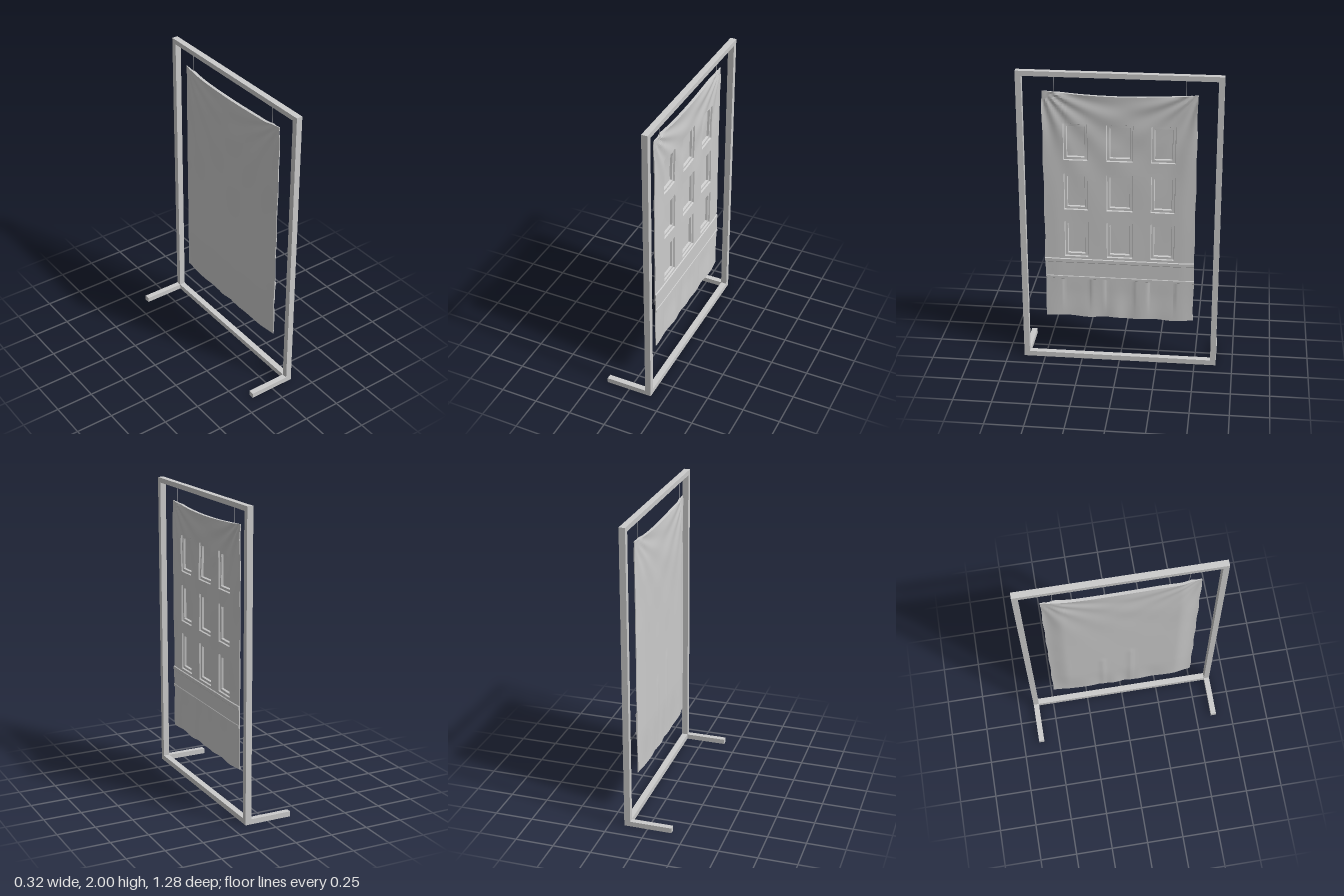
import * as THREE from 'three';
import { toCreasedNormals } from 'three/addons/utils/BufferGeometryUtils.js';

const material = new THREE.MeshStandardMaterial({ color: 0xcccccc });
const { smoothstep, lerp } = THREE.MathUtils;

// Cloth layout: window columns [z centre, width], window rows [y low, y high]
const COLUMNS = [[0.28, 0.15], [0, 0.165], [-0.275, 0.15]];
const ROWS = [[0.745, 0.99], [1.075, 1.32], [1.415, 1.655]];
const INSET = 0.019, EDGE = 0.002;
const LEFT = 0.487, RIGHT = -0.482, BOTTOM = 0.305, TOP = 1.866;
const BAND = [0.58, 0.6, 0.7, 0.725];

// 1 inside the interval a..b, 0 outside, with a narrow slope at both ends
const inside = (v, a, b, e = EDGE) => smoothstep(v, a - e, a + e) * (1 - smoothstep(v, b - e, b + e));

// Even grid lines plus tight pairs of lines at every sharp step
function gridLines(lo, hi, count, steps) {
  const sharp = steps.flatMap((s) => [s - EDGE, s, s + EDGE]);
  const lines = [...sharp];
  for (let i = 0; i <= count; i++) {
    const v = lerp(lo, hi, i / count);
    if (i === 0 || i === count || sharp.every((s) => Math.abs(s - v) > 0.003)) lines.push(v);
  }
  return lines.sort((a, b) => a - b);
}

// Diagonal pull folds that fan out from the two hung corners
function cornerFolds(z, y) {
  let sum = 0;
  for (const side of [1, -1]) {
    const dz = 0.5 - side * z, dy = 1.9 - y;
    const r = Math.hypot(dz, dy);
    sum += Math.sin(Math.atan2(dz, dy) * 17 + side) * Math.exp(-r / 0.45) * smoothstep(r, 0, 0.15);
  }
  return sum * 0.006;
}

// Soft vertical waves toward the hem
const hemFolds = (z, y) =>
  0.003 * Math.sin(z * 31 + Math.sin(z * 9) + y * 1.5) * (1 - smoothstep(y, 0.3, 0.62));

// Back of the cloth bellies out away from the frame
function backX(z, y) {
  const across = smoothstep(0.49 - Math.abs(z), 0, 0.13);
  const up = smoothstep(y, 0.28, 0.62) * (1 - smoothstep(y, 1.55, 1.9));
  const ridges = [[0.06, 0.95], [-0.13, 0.85]].reduce(
    (s, [c, h]) => s + Math.exp(-(((z - c) / 0.018) ** 2)) * (1 - smoothstep(y, h - 0.08, h)), 0);
  return 0.115 - 0.012 * across - 0.008 * up * across + cornerFolds(z, y) * 0.6 + hemFolds(z, y) - ridges * 0.003;
}

// Front of the cloth: stepped window recesses, raised band, shallow lower panels
function frontX(z, y) {
  let x = 0.12 + 0.003 * smoothstep(0.49 - Math.abs(z), 0, 0.1) + cornerFolds(z, y) + hemFolds(z, y);
  for (const [c, w] of COLUMNS) {
    const a = c - w / 2, b = c + w / 2;
    for (const [lo, hi] of ROWS) {
      x -= 0.01 * inside(z, a, b) * inside(y, lo, hi);
      x -= 0.014 * inside(z, a + INSET, b - INSET) * inside(y, lo + INSET, hi - INSET);
    }
    x -= 0.006 * inside(z, a - 0.01, b + 0.01, 0.006) * (1 - smoothstep(y, BAND[0] - EDGE, BAND[0] + EDGE))
      * smoothstep(y, 0.3, 0.5);
  }
  x += 0.003 * inside(y, BAND[0], BAND[3]);
  x += 0.003 * (inside(y, BAND[0], BAND[1]) + inside(y, BAND[2], BAND[3]));
  return Math.max(x, backX(z, y) + 0.004);
}

// Closed cloth built from horizontal rings, bottom to top
function clothGeometry() {
  const zs = gridLines(RIGHT, LEFT, 76, COLUMNS.flatMap(([c, w]) =>
    [c - w / 2, c - w / 2 + INSET, c + w / 2 - INSET, c + w / 2])).reverse();
  const ys = gridLines(BOTTOM, TOP, 100, [...BAND, ...ROWS.flatMap(([a, b]) => [a, a + INSET, b - INSET, b])]);
  const n = zs.length, ring = 2 * n, last = (ys.length - 1) * ring;
  const positions = [], index = [];
  const quad = (a, b, c, d) => index.push(a, b, c, a, c, d);
  for (const y of ys) {
    const point = (z, surface) => {
      const sag = 0.026 * (1 - Math.min(1, Math.abs(z) / 0.48) ** 2) * smoothstep(y, 1.67, TOP);
      const hem = 0.003 * Math.sin(z * 23) * (1 - smoothstep(y, BOTTOM, 0.4));
      const ripple = 0.002 * Math.sin(y * 19) * (Math.abs(z) / 0.48) ** 8;
      positions.push(surface(z, y), y - sag + hem, z + ripple);
    };
    zs.forEach((z) => point(z, frontX));
    [...zs].reverse().forEach((z) => point(z, backX));
  }
  for (let i = 0; i < last; i += ring) {
    for (let j = 0; j < ring; j++) {
      const k = (j + 1) % ring;
      quad(i + j, i + k, i + ring + k, i + ring + j);
    }
  }
  for (let j = 0; j < n - 1; j++) {
    quad(last + j, last + j + 1, last + ring - 2 - j, last + ring - 1 - j);
    quad(ring - 1 - j, ring - 2 - j, j + 1, j);
  }
  const geometry = new THREE.BufferGeometry();
  geometry.setAttribute('position', new THREE.Float32BufferAttribute(positions, 3));
  geometry.setIndex(index);
  return toCreasedNormals(geometry, 0.6);
}

export function createModel() {
  const model = new THREE.Group();
  const add = (name, geometry, x = 0, y = 0, z = 0) => {
    const mesh = new THREE.Mesh(geometry, material);
    mesh.name = name;
    mesh.position.set(x, y, z);
    model.add(mesh);
  };

  // Upright rectangular frame
  const outline = new THREE.Shape([[-0.642, 0], [0.642, 0], [0.642, 2], [-0.642, 2]].map((p) => new THREE.Vector2(...p)));
  outline.holes.push(new THREE.Path([[-0.605, 0.035], [-0.605, 1.968], [0.605, 1.968], [0.605, 0.035]]
    .map((p) => new THREE.Vector2(...p))));
  const frame = new THREE.ExtrudeGeometry(outline, { depth: 0.04, bevelEnabled: false });
  frame.rotateY(Math.PI / 2);
  add('frame', frame, 0.116);

  // Feet and hanging cords, one on each side
  for (const side of [1, -1]) {
    const name = side > 0 ? 'front' : 'back';
    add(name + 'Foot', new THREE.BoxGeometry(0.277, 0.034, 0.037), -0.0215, 0.017, side * 0.6235);
    add(name + 'Cord', new THREE.CylinderGeometry(0.0015, 0.0015, 0.13, 6), 0.119, 1.91, side * 0.41);
  }

  add('hangingCloth', clothGeometry());
  return model;
}
